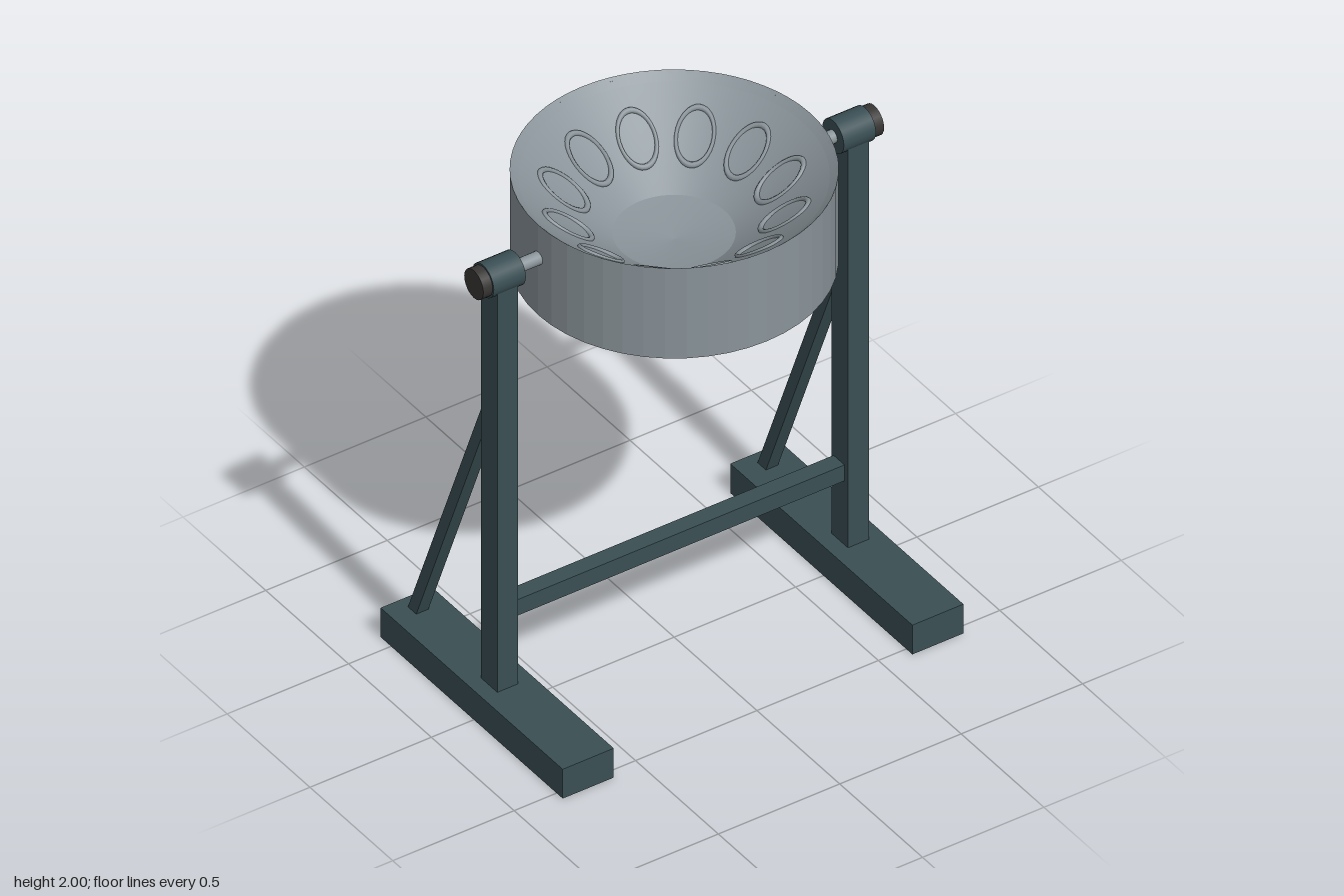
import * as THREE from 'three';

const frameMat = new THREE.MeshStandardMaterial({ color: 0x3a4f54 });
frameMat.name = 'dark green frame';
const steelMat = new THREE.MeshStandardMaterial({ color: 0x8a949a, side: THREE.DoubleSide });
steelMat.name = 'grey steel';
const skirtMat = steelMat.clone();
skirtMat.flatShading = true;
skirtMat.name = 'grey steel faceted';
const capMat = new THREE.MeshStandardMaterial({ color: 0x383635 });
capMat.name = 'dark rubber';

function add(parent, name, geometry, material, x = 0, y = 0, z = 0) {
  const mesh = new THREE.Mesh(geometry, material);
  mesh.name = name;
  mesh.position.set(x, y, z);
  parent.add(mesh);
  return mesh;
}

const lathe = (points, segments) =>
  new THREE.LatheGeometry(points.map(([r, y]) => new THREE.Vector2(r, y)), segments);

// Cylinder lying along x between two x positions
function rod(parent, name, x0, x1, radius, material, sides) {
  const geometry = new THREE.CylinderGeometry(radius, radius, Math.abs(x1 - x0), sides);
  geometry.rotateZ(Math.PI / 2);
  return add(parent, name, geometry, material, (x0 + x1) / 2, 1.86, 0);
}

function createPan() {
  const pan = new THREE.Group();
  pan.name = 'pan';

  // Thin-walled skirt, open at the bottom
  add(pan, 'skirt', lathe([[0.55, 1.99], [0.55, 1.615], [0.56, 1.615], [0.56, 2], [0.55, 1.99]], 48), skirtMat);

  // Sunken playing surface: lip, sloping bowl and shallow centre
  add(pan, 'rimLip', lathe([[0.56, 2], [0.53, 1.972]].reverse(), 64), steelMat);
  add(pan, 'bowl', lathe([[0.21, 1.73], [0.3, 1.791], [0.38, 1.852], [0.46, 1.914], [0.53, 1.972]], 64), steelMat);
  add(pan, 'bowlCentre', lathe([[0, 1.7], [0.11, 1.71], [0.21, 1.73]], 64), steelMat);

  // Twelve oval notes lying on the slope
  const slope = Math.atan2(0.242, 0.32);
  for (let i = 0; i < 12; i++) {
    const spoke = new THREE.Group();
    spoke.name = 'note';
    spoke.rotation.y = ((i + 0.5) * Math.PI) / 6;
    const ring = new THREE.TorusGeometry(0.1, 0.011, 8, 32);
    ring.rotateX(Math.PI / 2);
    ring.scale(1.03, 1, 0.65);
    ring.rotateZ(slope);
    add(spoke, 'noteRing', ring, steelMat, 0.383, 1.855, 0);
    pan.add(spoke);
  }
  return pan;
}

function createSide(s) {
  const side = new THREE.Group();
  side.name = s > 0 ? 'leftSide' : 'rightSide';

  add(side, 'foot', new THREE.BoxGeometry(0.21, 0.125, 1.1), frameMat, s * 0.72, 0.0625, -0.013);
  add(side, 'post', new THREE.BoxGeometry(0.086, 1.74, 0.1), frameMat, s * 0.722, 0.97, 0.004);

  // Diagonal brace behind the post
  const low = new THREE.Vector2(-0.504, 0.09);
  const high = new THREE.Vector2(-0.028, 1.3);
  const brace = add(side, 'brace', new THREE.BoxGeometry(0.05, low.distanceTo(high), 0.047), frameMat,
    s * 0.72, (low.y + high.y) / 2, (low.x + high.x) / 2);
  brace.rotation.x = Math.atan2(high.x - low.x, high.y - low.y);

  // Pivot: collar, end knob and pin through the skirt
  rod(side, 'collar', s * 0.655, s * 0.787, 0.065, frameMat, 24);
  rod(side, 'knob', s * 0.78, s * 0.825, 0.058, capMat, 24);
  rod(side, 'pin', s * 0.525, s * 0.67, 0.025, steelMat, 16);
  return side;
}

export function createModel() {
  const model = new THREE.Group();
  model.name = 'steelPanOnStand';
  model.add(createPan(), createSide(1), createSide(-1));
  add(model, 'crossbar', new THREE.BoxGeometry(1.38, 0.068, 0.066), frameMat, 0, 0.432, 0);
  return model;
}
